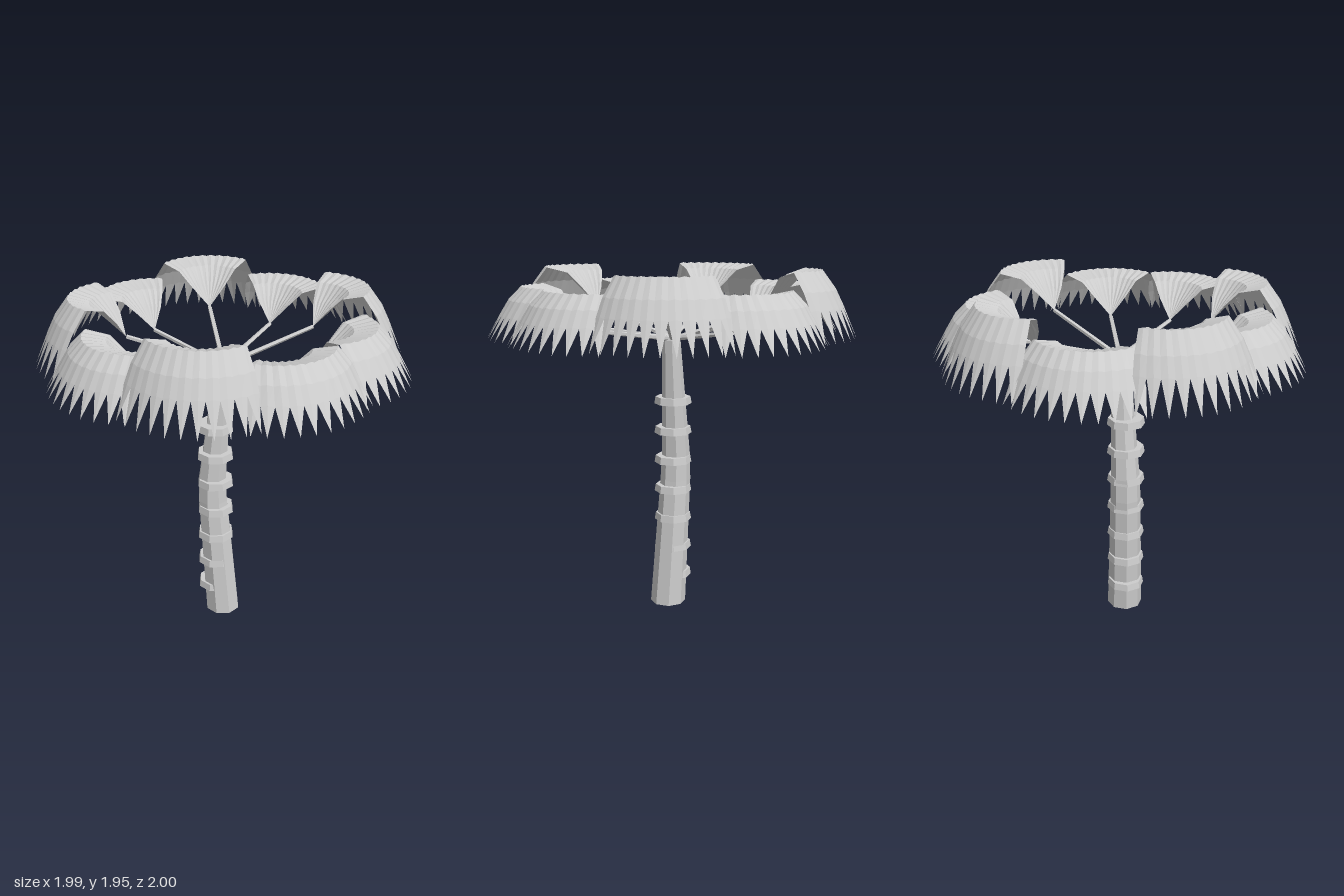
import * as THREE from 'three';

const HUB = new THREE.Vector3(-0.02, 1.565, 0);
const REACH = 0.52;
const TEETH = 11;

// Profiles running out from the leaf stalk: [radius, height, half spread in degrees]
const TALL = [[0, 1.725, 70], [0.1, 1.835, 68], [0.185, 1.92, 62], [0.295, 1.95, 55], [0.37, 1.85, 52], [0.415, 1.76, 50], [0.488, 1.595, 49]];
const LOW = [[0, 1.645, 70], [0.1, 1.755, 68], [0.18, 1.833, 62], [0.3, 1.86, 55], [0.37, 1.79, 52], [0.42, 1.71, 50], [0.492, 1.585, 49]];

// Pleated fan shell ending in pointed teeth
function fanGeometry(profile) {
  const cols = TEETH * 2;
  const last = profile.length - 1;
  const point = (row, col) => {
    const [r, y, spread] = profile[row];
    const a = THREE.MathUtils.degToRad(spread) * (col / cols * 2 - 1);
    const pleat = row === 0 || row === last ? 0 : (col % 2 ? 0.003 : -0.003);
    return [r * Math.cos(a), y + pleat, r * Math.sin(a)];
  };
  const pos = [];
  const tri = (a, b, c) => pos.push(...a, ...b, ...c);
  for (let row = 0; row < last - 1; row++) {
    for (let c = 0; c < cols; c++) {
      const a = point(row, c), b = point(row, c + 1);
      const d = point(row + 1, c), e = point(row + 1, c + 1);
      if (row > 0) tri(a, b, e);
      tri(a, e, d);
    }
  }
  for (let c = 0; c < cols; c += 2) {
    const tip = point(last, c + 1), mid = point(last - 1, c + 1);
    tri(point(last - 1, c), mid, tip);
    tri(mid, point(last - 1, c + 2), tip);
  }
  const g = new THREE.BufferGeometry();
  g.setAttribute('position', new THREE.Float32BufferAttribute(pos, 3));
  g.computeVertexNormals();
  return g;
}

// Bent, tapering trunk: a cylinder whose rings follow [x, y, z, radius]
function trunkGeometry() {
  const rings = [[-0.02, 1.56, 0.005, 0.051], [-0.08, 0.88, 0.025, 0.082], [-0.078, 0.74, 0.027, 0.087], [-0.018, 0, 0.03, 0.102]];
  const g = new THREE.CylinderGeometry(1, 1, 3, 8, 3);
  const p = g.attributes.position;
  for (let i = 0; i < p.count; i++) {
    const [x, y, z, r] = rings[Math.round(1.5 - p.getY(i))];
    p.setXYZ(i, x + p.getX(i) * r, y, z + p.getZ(i) * r);
  }
  g.computeVertexNormals();
  return g;
}

export function createModel() {
  const model = new THREE.Group();
  const grey = new THREE.MeshStandardMaterial({ color: 0xcccccc, flatShading: true, side: THREE.DoubleSide });
  grey.name = 'pale grey';

  const add = (parent, name, geometry) => {
    const m = new THREE.Mesh(geometry, grey);
    m.name = name;
    parent.add(m);
    return m;
  };

  add(model, 'trunk', trunkGeometry());

  // Bark rings
  const ring = new THREE.CylinderGeometry(0.1, 0.107, 0.04, 8);
  for (let i = 0; i < 7; i++) {
    add(model, 'barkRing', ring).position.set(-0.06, 0.175 + i * 0.1725, 0.03);
  }

  // Nine leaves around the hub, every second one on a steeper stalk
  const kinds = [LOW, TALL].map((profile) => {
    const rise = profile[0][1] - HUB.y;
    return {
      rise,
      fan: fanGeometry(profile),
      stalk: new THREE.CylinderGeometry(0.012, 0.014, Math.hypot(rise, REACH), 5),
    };
  });
  for (let i = 1; i <= 9; i++) {
    const { rise, fan, stalk } = kinds[(i + 1) % 2];
    const leaf = new THREE.Group();
    leaf.name = 'leaf';
    leaf.position.set(HUB.x, 0, HUB.z);
    leaf.rotation.y = -i * Math.PI * 2 / 9;
    const s = add(leaf, 'leafStalk', stalk);
    s.position.set(REACH / 2, HUB.y + rise / 2, 0);
    s.rotation.z = Math.atan2(rise, REACH) - Math.PI / 2;
    add(leaf, 'leafFan', fan).position.x = REACH;
    model.add(leaf);
  }
  return model;
}
